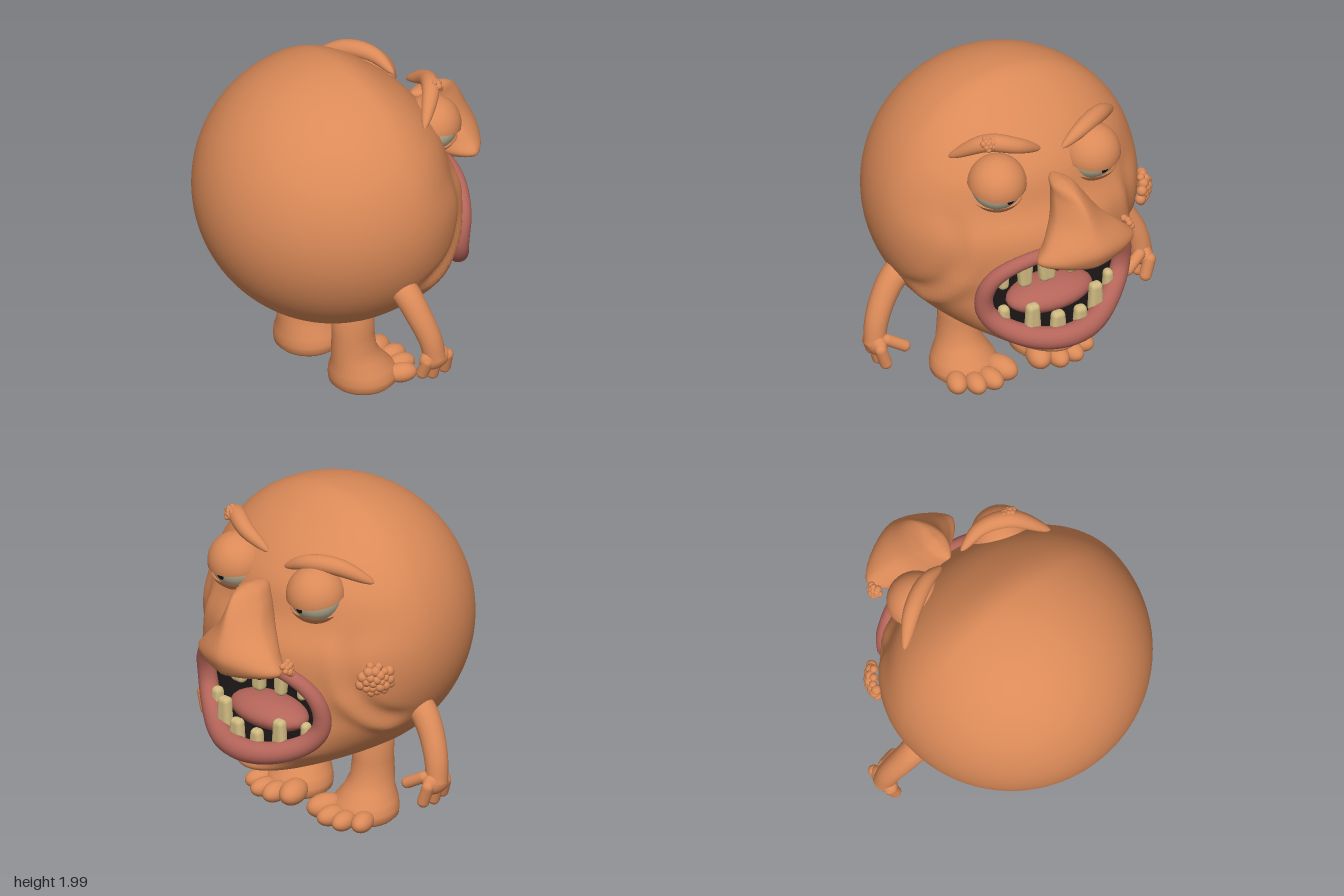
import * as THREE from 'three';
import { mergeVertices } from 'three/addons/utils/BufferGeometryUtils.js';
import { RoundedBoxGeometry } from 'three/addons/geometries/RoundedBoxGeometry.js';

const V = (x, y, z) => new THREE.Vector3(x, y, z);
const mat = (name, color) => {
  const m = new THREE.MeshStandardMaterial({ color, side: THREE.DoubleSide });
  m.name = name;
  return m;
};

// Move every vertex by a rule, then weld and smooth
function reshape(geo, rule) {
  const p = geo.attributes.position, v = V(0, 0, 0);
  for (let i = 0; i < p.count; i++) {
    v.fromBufferAttribute(p, i);
    rule(v, i);
    p.setXYZ(i, v.x, v.y, v.z);
  }
  geo.deleteAttribute('uv');
  geo.deleteAttribute('normal');
  const g = mergeVertices(geo, 1e-5);
  g.computeVertexNormals();
  return g;
}

// Tube whose radius follows radius(u)
function taperTube(pts, radius, closed = false, steps = 40) {
  const curve = new THREE.CatmullRomCurve3(pts, closed), sides = 16;
  const geo = new THREE.TubeGeometry(curve, steps, 1, sides, closed);
  return reshape(geo, (v, i) => {
    const u = Math.floor(i / (sides + 1)) / steps;
    const c = curve.getPointAt(u % 1 === 0 && closed ? 0 : u);
    v.sub(c).multiplyScalar(radius(u)).add(c);
  });
}

// The front of the ball is flattened at the brow and pushed out at the jaw
const frontScale = new THREE.CubicInterpolant(
  [0.4, 0.5, 0.6, 0.8, 1, 1.25, 1.4, 1.6, 1.78, 1.92, 2],
  [3.2, 1.85, 1.4, 1.0, 0.88, 0.83, 0.76, 0.76, 0.7, 0.6, 0.55], 1);
const scaleAt = (y) => frontScale.evaluate(y)[0];
const faceZ = (x, y) =>
  0.1 - Math.sqrt(Math.max(0, 0.64 - (y - 1.2) ** 2 - x * x)) * scaleAt(y);

// Mouth outline: rounded rectangle, k scales it
const MOUTH = { y: 0.885, rx: 0.455, ry: 0.28 };
const soft = (c) => Math.sign(c) * Math.abs(c) ** 0.85;
const mouthXY = (t, k = 1) =>
  [MOUTH.rx * k * soft(Math.cos(t)), MOUTH.y + MOUTH.ry * k * soft(Math.sin(t))];

function bodyGeometry() {
  const geo = new THREE.SphereGeometry(0.8, 128, 96);
  const g = reshape(geo, (v) => {
    const n = v.clone().normalize();
    v.y += 1.2;
    v.z = v.z < 0 ? 0.1 + v.z * scaleAt(v.y) : 0.1 + v.z;
    // cheek fold around the mouth
    const r = Math.hypot(v.z, v.y - 1.2);
    const fade = THREE.MathUtils.smoothstep(-v.z, -0.05, 0.15) *
      THREE.MathUtils.smoothstep(1.45 - v.y, 0, 0.2) * THREE.MathUtils.smoothstep(Math.abs(v.x), 0.4, 0.55);
    const fold = Math.exp(-(((r - 0.45) / 0.035) ** 2)) - Math.exp(-(((r - 0.37) / 0.04) ** 2));
    v.addScaledVector(n, 0.02 * fold * fade);
  });
  // cut the mouth opening
  const p = g.attributes.position, idx = g.index.array, kept = [];
  for (let i = 0; i < idx.length; i += 3) {
    const tri = [idx[i], idx[i + 1], idx[i + 2]];
    const mean = (get) => tri.reduce((s, k) => s + get(k), 0) / 3;
    const x = mean((k) => p.getX(k)), y = mean((k) => p.getY(k)), z = mean((k) => p.getZ(k));
    const inside = Math.abs(x / MOUTH.rx) ** 2.35 + Math.abs((y - MOUTH.y) / MOUTH.ry) ** 2.35 < 0.97;
    if (!(inside && z < -0.1)) kept.push(...tri);
  }
  g.setIndex(kept);
  return g;
}

// Nose sections from base to bridge: y, half width, back z, widest z, front z, x shift
function noseGeometry() {
  const rows = [
    [1.13, 0, -0.72, -0.72, -0.72, -0.05], [1.145, 0.17, -0.6, -0.72, -0.84, -0.05],
    [1.2, 0.31, -0.54, -0.72, -0.885, -0.06], [1.28, 0.26, -0.5, -0.72, -0.9, -0.06],
    [1.4, 0.15, -0.45, -0.67, -0.845, -0.04], [1.52, 0.09, -0.44, -0.6, -0.78, -0.02],
    [1.59, 0.06, -0.45, -0.57, -0.7, 0], [1.615, 0, -0.58, -0.58, -0.58, 0]];
  const table = new THREE.CubicInterpolant(rows.map((_, i) => i), rows.flat(), 6);
  return reshape(new THREE.CylinderGeometry(1, 1, 1, 40, 42, true), (v) => {
    const [y, w, back, mid, front, dx] = table.evaluate((v.y + 0.5) * (rows.length - 1));
    const e = (c) => Math.abs(c) ** 1.25;
    const z = mid + ((v.z < 0 ? front : back) - mid) * e(v.z);
    v.set(dx + Math.max(0, w) * Math.sign(v.x) * e(v.x), y, z);
  });
}

export function createModel() {
  const root = new THREE.Group();
  const skin = mat('skin', 0xdb8a58), lip = mat('lip', 0xb5655a), tooth = mat('tooth', 0xcfb981);
  const eyeWhite = mat('eyeWhite', 0xbfb699), dark = mat('dark', 0x171212);
  const add = (name, geo, material, pos) => {
    const m = new THREE.Mesh(geo, material);
    m.name = name;
    if (pos) m.position.copy(pos);
    root.add(m);
    return m;
  };
  const ball = (name, material, pos, sx, sy = sx, sz = sx, seg = 24) => {
    const m = add(name, new THREE.SphereGeometry(1, seg, Math.ceil(seg * 0.67)), material, pos);
    m.scale.set(sx, sy, sz);
    return m;
  };
  const capsule = (name, a, b, r) => {
    const d = b.clone().sub(a);
    const m = add(name, new THREE.CapsuleGeometry(r, d.length(), 6, 14), skin, a.clone().add(b).multiplyScalar(0.5));
    m.quaternion.setFromUnitVectors(V(0, 1, 0), d.normalize());
  };

  add('body', bodyGeometry(), skin);

  // Mouth: lips, dark cavity, tongue
  const lipPts = [];
  for (let i = 0; i < 28; i++) {
    const [x, y] = mouthXY((i / 28) * Math.PI * 2);
    lipPts.push(V(x, y, faceZ(x, y) - 0.03));
  }
  add('lips', taperTube(lipPts, (u) => 0.053 - 0.014 * Math.sin(u * Math.PI * 2), true, 96), lip);
  const bowl = new THREE.SphereGeometry(1, 40, 16, 0, Math.PI * 2, 0, Math.PI / 2).rotateX(Math.PI / 2);
  add('mouthCavity', reshape(bowl, (v) => {
    const x = MOUTH.rx * 1.02 * v.x, y = MOUTH.y + MOUTH.ry * 1.02 * v.y;
    v.set(x, y, faceZ(x, y) + 0.02 + 0.35 * v.z);
  }), dark);
  ball('tongue', lip, V(0, 0.76, -0.42), 0.27, 0.09, 0.16);

  // Teeth: x, width, height
  const row = (name, list, up) => list.forEach(([x, w, h]) => {
    const rim = MOUTH.y + up * MOUTH.ry * 0.92 * (1 - Math.abs(x / MOUTH.rx) ** 2.35) ** (1 / 2.35);
    const geo = new RoundedBoxGeometry(w, h, 0.065, 3, 0.028);
    const p = geo.attributes.position;
    for (let i = 0; i < p.count; i++) {
      const k = 1 + 0.3 * up * p.getY(i) / h;
      p.setX(i, p.getX(i) * k);
    }
    geo.computeVertexNormals();
    add(name, geo, tooth, V(x, rim - up * h * 0.42, faceZ(x, rim) + 0.01));
  });
  row('upperTooth', [[-0.34, 0.06, 0.12], [-0.21, 0.08, 0.17], [-0.06, 0.09, 0.2], [0.1, 0.11, 0.2],
    [0.23, 0.09, 0.19], [0.35, 0.07, 0.14]], 1);
  row('lowerTooth', [[-0.35, 0.06, 0.13], [-0.22, 0.085, 0.19], [-0.09, 0.08, 0.12], [0.06, 0.09, 0.14],
    [0.2, 0.09, 0.2], [0.34, 0.07, 0.13]], -1);

  // Nose with nostrils
  add('nose', noseGeometry(), skin);
  for (const s of [-1, 1]) ball('nostril', dark, V(-0.05 + s * 0.19, 1.175, -0.755), 0.035, 0.025, 0.03, 12);

  // Eyes with heavy lids
  for (const s of [-1, 1]) {
    const c = V(s * 0.31, 1.575, -0.365);
    ball('eyeball', eyeWhite, c, 0.153);
    const lid = (name, from, len, tilt) => {
      const m = add(name, new THREE.SphereGeometry(0.17, 32, 16, 0, Math.PI * 2, from, len), skin, c);
      m.rotation.x = tilt;
    };
    lid('upperLid', 0, Math.PI / 2, -0.2);
    lid('lowerLid', Math.PI * 0.69, Math.PI * 0.31, 0.1);
    const d = V(-0.05, -0.34, -1).normalize();
    const pupil = ball('pupil', dark, c.clone().addScaledVector(d, 0.152), 0.022, 0.026, 0.006, 14);
    pupil.quaternion.setFromUnitVectors(V(0, 0, -1), d);
  }

  // Eyebrows, one raised
  const browRadius = (u) => 0.006 + 0.046 * Math.sin(Math.PI * u) ** 0.6;
  add('leftBrow', taperTube([V(0.04, 1.73, -0.39), V(0.2, 1.81, -0.4), V(0.35, 1.84, -0.33), V(0.51, 1.71, -0.17)], browRadius), skin);
  add('rightBrow', taperTube([V(-0.1, 1.69, -0.4), V(-0.24, 1.75, -0.37), V(-0.4, 1.75, -0.29), V(-0.57, 1.66, -0.16)], browRadius), skin);

  // Wart clusters: small balls spread over a dome
  const warts = (c, normal, R, r, n) => {
    const q = new THREE.Quaternion().setFromUnitVectors(V(0, 1, 0), normal.normalize());
    for (let i = 0; i < n; i++) {
      const a = i * 2.4, k = Math.sqrt((i + 0.3) / n);
      const o = V(Math.cos(a) * k, 0.45 * (1 - k * k), Math.sin(a) * k).multiplyScalar(R).applyQuaternion(q);
      ball('wart', skin, c.clone().add(o), r * (1 + 0.15 * Math.sin(i * 5)), undefined, undefined, 10);
    }
  };
  warts(V(-0.69, 1.14, -0.27), V(-0.85, 0, -0.5), 0.095, 0.028, 24);
  warts(V(-0.37, 1.23, -0.66), V(-0.8, 0.4, 0.1), 0.04, 0.02, 12);
  warts(V(0.36, 1.855, -0.36), V(0.2, 0.6, -0.8), 0.04, 0.018, 13);

  for (const s of [-1, 1]) {
    // Arms and hands
    const P = (x, y, z) => V(s * x, y, z);
    add('arm', taperTube([P(0.62, 0.85, 0.11), P(0.71, 0.8, 0.1), P(0.79, 0.7, 0.08), P(0.855, 0.57, 0.05), P(0.88, 0.44, 0.03)],
      (u) => 0.085 - 0.022 * u), skin);
    ball('shoulder', skin, P(0.66, 0.815, 0.105), 0.08);
    ball('palm', skin, P(0.875, 0.445, 0.03), 0.055, 0.07, 0.1);
    [[0.1, 0.36], [0.03, 0.335], [-0.055, 0.345]].forEach(([z, y]) =>
      capsule('finger', P(0.885, 0.44, z * 0.9), P(0.855, y, z), 0.036));
    capsule('thumb', P(0.83, 0.48, -0.03), P(0.735, 0.425, -0.06), 0.034);

    // Legs flaring into feet
    const profile = [[0, 0.01], [0.17, 0.01], [0.195, 0.035], [0.198, 0.075], [0.18, 0.125], [0.14, 0.19],
      [0.12, 0.26], [0.112, 0.36], [0.114, 0.48], [0.09, 0.515], [0, 0.52]].map(([x, y]) => new THREE.Vector2(x, y));
    const leg = reshape(new THREE.LatheGeometry(profile, 36), (v) => {
      const low = THREE.MathUtils.smoothstep(0.3 - v.y, 0, 0.25);
      v.z = v.z * (1.12 - 0.12 * low) + 0.15 - 0.07 * low;
    });
    add('leg', leg, skin, V(s * 0.26, 0, 0));
    // Toes, inner one largest
    [[-0.135, -0.1, 0.075], [-0.04, -0.15, 0.062], [0.055, -0.145, 0.058], [0.145, -0.085, 0.06]].forEach(([x, z, r]) => {
      const t = ball('toe', skin, V(s * (0.26 + x), 0.01 + r, z), r, r * 0.95, r * 1.5);
      t.rotation.y = -s * x * 2.5;
    });
  }
  return root;
}
